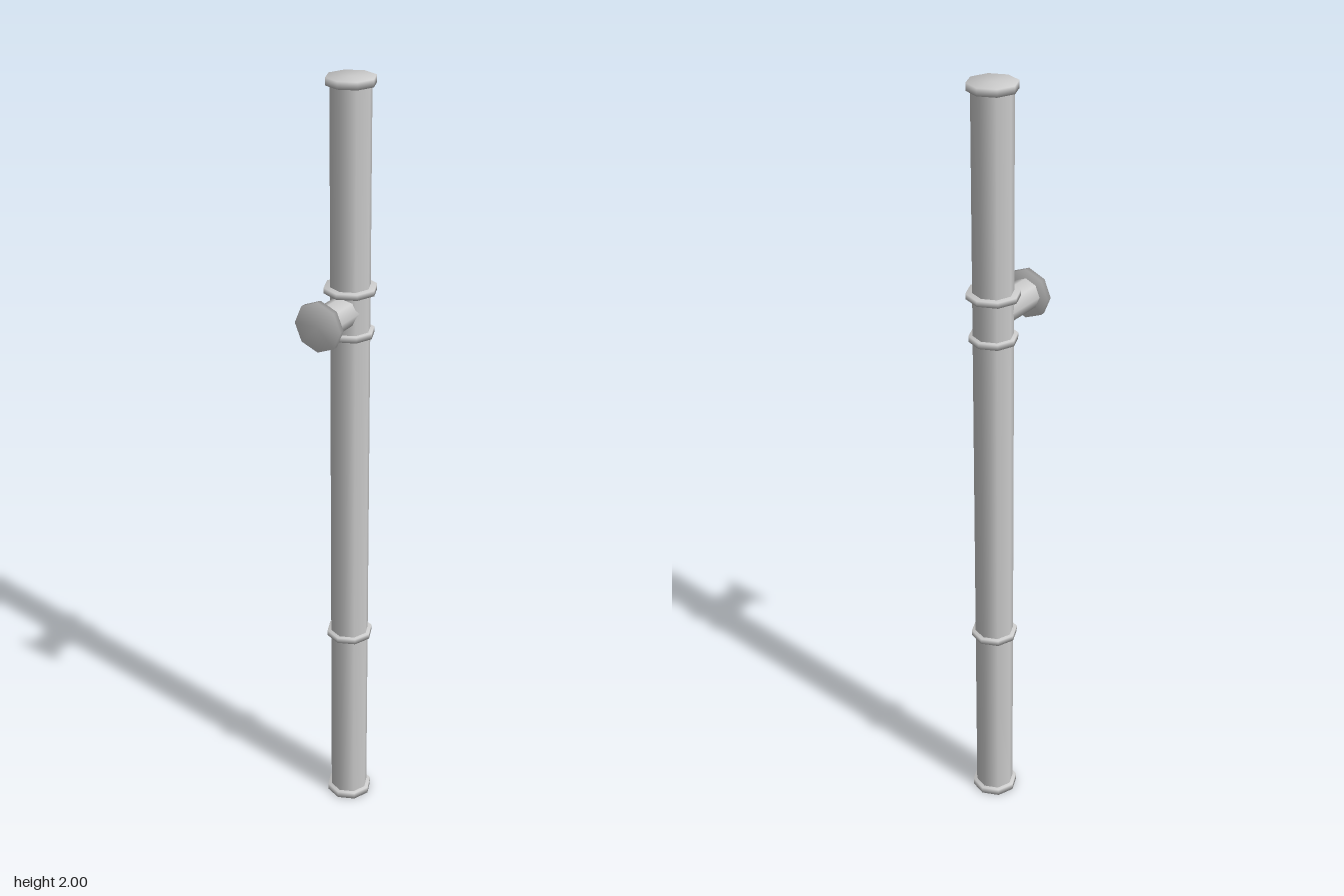
import * as THREE from 'three';
import { mergeVertices } from 'three/addons/utils/BufferGeometryUtils.js';

const SIDES = 8;
const PIPE_Z = -0.042;
const BRANCH_Y = 1.443;

export function createModel() {
  const group = new THREE.Group();
  const material = new THREE.MeshStandardMaterial({ color: 0xcccccc });

  function add(name, geometry, y, z) {
    const mesh = new THREE.Mesh(geometry, material);
    mesh.name = name;
    mesh.position.set(0, y, z);
    group.add(mesh);
    return mesh;
  }

  // Closed octagonal disc with normals blended over its rim
  function disc(radius, height) {
    const g = new THREE.CylinderGeometry(radius, radius, height, SIDES);
    g.deleteAttribute('normal');
    g.deleteAttribute('uv');
    const merged = mergeVertices(g);
    merged.computeVertexNormals();
    return merged;
  }

  // Main upright pipe, closed by the end flanges
  add('mainPipe', new THREE.CylinderGeometry(0.05, 0.05, 1.98, SIDES, 1, true), 1, PIPE_Z);

  // Flanges along the pipe: name, centre height, radius, thickness
  const flanges = [
    ['bottomFlange', 0.009, 0.06, 0.018],
    ['lowerFlange', 0.521, 0.06, 0.015],
    ['middleFlange', 1.381, 0.06, 0.015],
    ['upperFlange', 1.492, 0.066, 0.014],
    ['topFlange', 1.991, 0.06, 0.018],
  ];
  for (const [name, y, radius, height] of flanges) {
    add(name, disc(radius, height), y, PIPE_Z);
  }

  // Side branch towards the front, with its end flange
  const branch = new THREE.CylinderGeometry(0.04, 0.04, 0.14, SIDES, 1, true);
  add('branchPipe', branch.rotateX(Math.PI / 2), BRANCH_Y, 0.027);
  add('branchFlange', disc(0.063, 0.014).rotateX(Math.PI / 2), BRANCH_Y, 0.1);

  return group;
}
